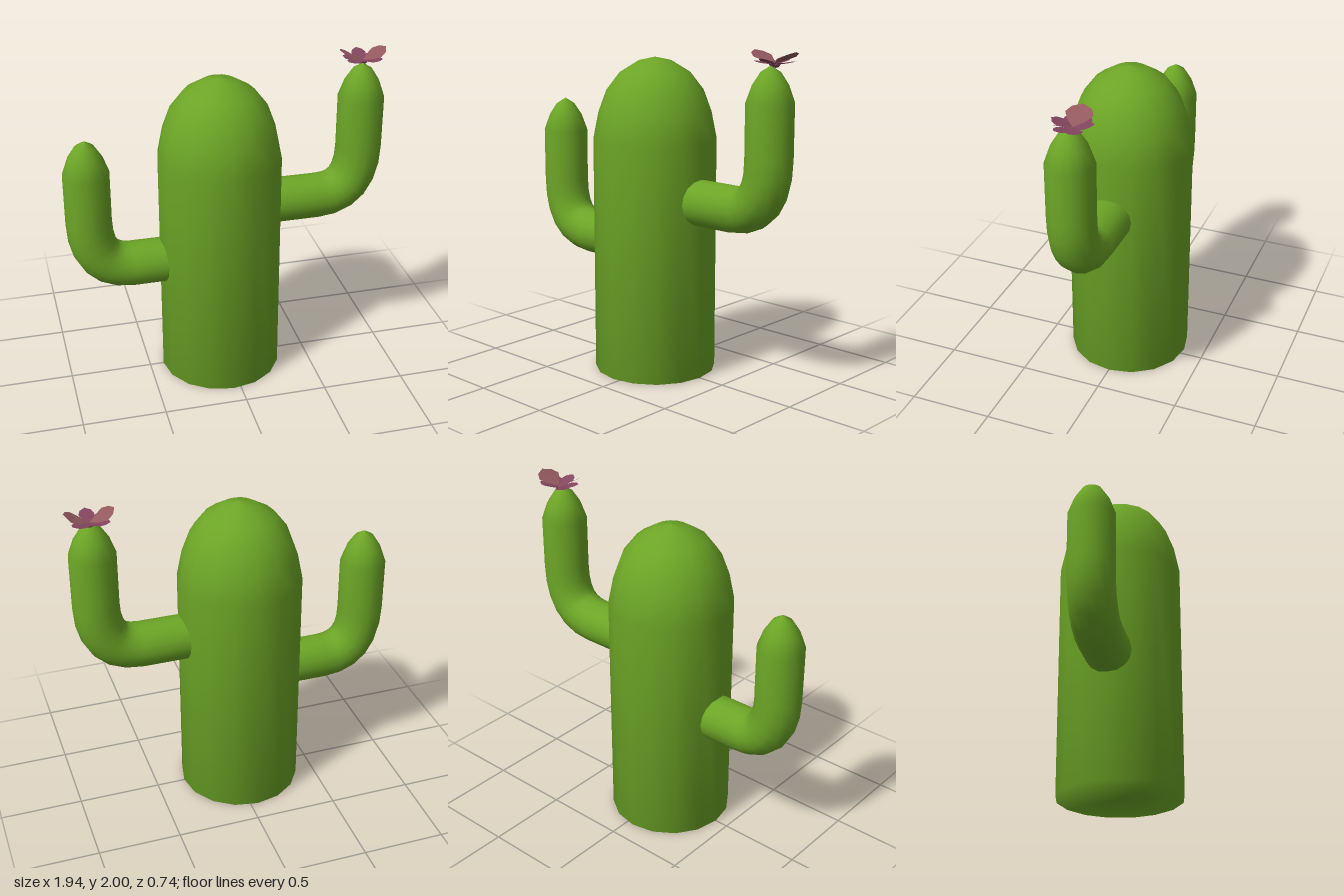
import * as THREE from 'three';

const green = new THREE.MeshStandardMaterial({ color: 0x6ca526 });
green.name = 'cactusGreen';
const pink = new THREE.MeshStandardMaterial({ color: 0x94595f, side: THREE.DoubleSide });
pink.name = 'dustyPink';
const plum = new THREE.MeshStandardMaterial({ color: 0x84465f, side: THREE.DoubleSide });
plum.name = 'plumPink';

const SIDES = 16;

function mesh(name, geometry, material) {
  const m = new THREE.Mesh(geometry, material);
  m.name = name;
  return m;
}

// Trunk: lathed column with a rounded top and closed base
function trunkGeometry() {
  const profile = [[0, 0], [0.37, 0], [0.37, 1.43], [0.338, 1.59], [0.29, 1.72],
    [0.21, 1.825], [0.1, 1.893], [0, 1.915]];
  return new THREE.LatheGeometry(profile.map(([r, y]) => new THREE.Vector2(r, y)), SIDES);
}

// Arm: rings swept out sideways, round a bend and up to a domed tip
function armGeometry(reach) {
  const bendStart = new THREE.Vector2(reach - 0.25, 0);
  const bend = new THREE.QuadraticBezierCurve(
    bendStart, new THREE.Vector2(reach, 0), new THREE.Vector2(reach, 0.315));
  const R = 0.137;
  const rings = [{ p: new THREE.Vector2(0.1, 0), t: new THREE.Vector2(1, 0), r: R }];
  for (let i = 0; i <= 6; i++) {
    rings.push({ p: bend.getPoint(i / 6), t: bend.getTangent(i / 6), r: R });
  }
  for (const [y, r] of [[0.632, R], [0.73, 0.102], [0.8, 0.057], [0.835, 0.002]]) {
    rings.push({ p: new THREE.Vector2(reach, y), t: new THREE.Vector2(0, 1), r });
  }
  const position = [], index = [];
  rings.forEach(({ p, t, r }, i) => {
    for (let j = 0; j < SIDES; j++) {
      const a = (j / SIDES) * Math.PI * 2, c = Math.cos(a) * r;
      position.push(p.x - t.y * c, p.y + t.x * c, Math.sin(a) * r);
      if (i === rings.length - 1) continue;
      const k = (j + 1) % SIDES, lo = i * SIDES, hi = lo + SIDES;
      index.push(lo + j, lo + k, hi + j, lo + k, hi + k, hi + j);
    }
  });
  const g = new THREE.BufferGeometry();
  g.setAttribute('position', new THREE.Float32BufferAttribute(position, 3));
  g.setIndex(index);
  g.computeVertexNormals();
  return g;
}

// Petal: pointed leaf outline, curved upward toward its tip
function petalGeometry(length, halfWidth, lift) {
  const half = [[0.3, 0.6], [0.6, 1], [0.85, 0.7]];
  const outline = [[0, 0], ...half.map(([x, y]) => [x, -y]), [1, 0],
    ...half.map(([x, y]) => [x, y]).reverse()];
  const shape = new THREE.Shape(
    outline.map(([x, y]) => new THREE.Vector2(x * length, y * halfWidth)));
  const g = new THREE.ShapeGeometry(shape).rotateX(-Math.PI / 2).toNonIndexed();
  const pos = g.attributes.position;
  for (let i = 0; i < pos.count; i++) {
    pos.setY(i, lift * Math.pow(Math.max(pos.getX(i), 0) / length, 1.2));
  }
  g.computeVertexNormals();
  return g;
}

function createFlower() {
  const flower = new THREE.Group();
  flower.name = 'flower';
  // Lower ring of six petals
  for (let i = 0; i < 6; i++) {
    const alongZ = i % 3 === 0;
    const p = mesh('lowerPetal', petalGeometry(0.12, 0.045, alongZ ? 0.04 : 0.02), plum);
    p.rotation.y = Math.PI / 2 + (i * Math.PI) / 3;
    flower.add(p);
  }
  // Two broad raised petals
  for (const turn of [0, Math.PI]) {
    const p = mesh('upperPetal', petalGeometry(0.142, 0.08, 0.07), pink);
    p.position.y = 0.005;
    p.rotation.y = turn;
    flower.add(p);
  }
  // Short flower base
  const base = mesh('flowerBase', new THREE.CylinderGeometry(0.035, 0.02, 0.02, 6), plum);
  base.position.y = -0.006;
  flower.add(base);
  return flower;
}

export function createModel() {
  const cactus = new THREE.Group();
  cactus.name = 'cactus';

  const trunk = mesh('trunk', trunkGeometry(), green);
  trunk.position.x = -0.045;
  cactus.add(trunk);

  const leftArm = mesh('leftArm', armGeometry(0.818), green);
  leftArm.position.y = 1.085;
  cactus.add(leftArm);

  const rightArm = mesh('rightArm', armGeometry(0.835), green);
  rightArm.position.y = 0.768;
  rightArm.rotation.y = Math.PI;
  cactus.add(rightArm);

  const flower = createFlower();
  flower.position.set(0.825, 1.925, -0.025);
  cactus.add(flower);
  return cactus;
}
